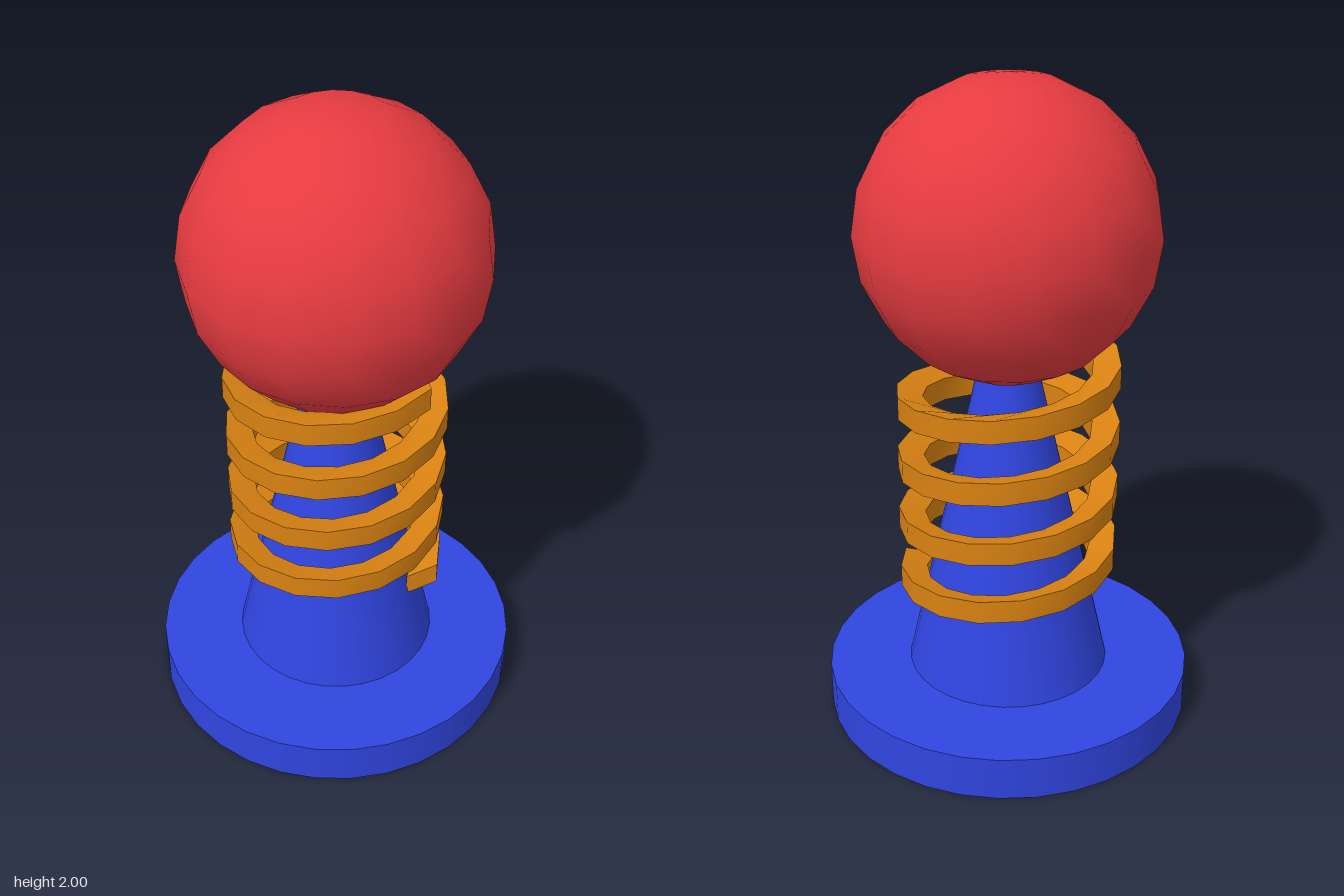
import * as THREE from 'three';
import { toCreasedNormals } from 'three/addons/utils/BufferGeometryUtils.js';

const mat = (color) => new THREE.MeshStandardMaterial({ color });

// Rectangular wire wound upwards; the inner and outer edges run over
// slightly different angles, so both ends are cut obliquely.
function springGeometry() {
  const turns = 4, steps = turns * 16, half = 0.036;
  const lerp = THREE.MathUtils.lerp;
  const pos = [], idx = [];
  for (let i = 0; i <= steps; i++) {
    const s = i / steps;
    const outer = { r: 0.336, a: lerp(0, 3.945, s) * Math.PI * 2, y: lerp(0.433, 1.204, s) };
    const inner = { r: 0.255, a: lerp(-0.031, 4, s) * Math.PI * 2, y: lerp(0.4, 1.2, s) };
    for (const [e, d] of [[outer, -half], [outer, half], [inner, half], [inner, -half]]) {
      pos.push(e.r * Math.cos(e.a), e.y + d, -e.r * Math.sin(e.a));
    }
  }
  for (let i = 0; i < steps; i++) {
    for (let j = 0; j < 4; j++) {
      const k = (j + 1) % 4, p = i * 4, q = p + 4;
      idx.push(p + j, q + j, q + k, p + j, q + k, p + k);
    }
  }
  // End caps
  const e = steps * 4;
  idx.push(0, 1, 2, 0, 2, 3, e, e + 2, e + 1, e, e + 3, e + 2);
  const g = new THREE.BufferGeometry();
  g.setAttribute('position', new THREE.Float32BufferAttribute(pos, 3));
  g.setIndex(idx);
  return toCreasedNormals(g, 0.7);
}

export function createModel() {
  const model = new THREE.Group();
  const blue = mat(0x3045e0), red = mat(0xe63b40), orange = mat(0xd98212);
  const add = (name, geometry, material, y = 0) => {
    const mesh = new THREE.Mesh(geometry, material);
    mesh.name = name;
    mesh.position.y = y;
    model.add(mesh);
  };

  // Round foot and tapering post
  const baseH = 0.137, postTop = 1.13;
  add('base', new THREE.CylinderGeometry(0.57, 0.57, baseH, 32), blue, baseH / 2);
  add('post', new THREE.CylinderGeometry(0.09, 0.314, postTop - baseH, 32), blue, (postTop + baseH) / 2);

  // Coil around the post, ball on top
  add('spring', springGeometry(), orange);
  add('ball', new THREE.SphereGeometry(0.446, 16, 10), red, 1.554);

  return model;
}
